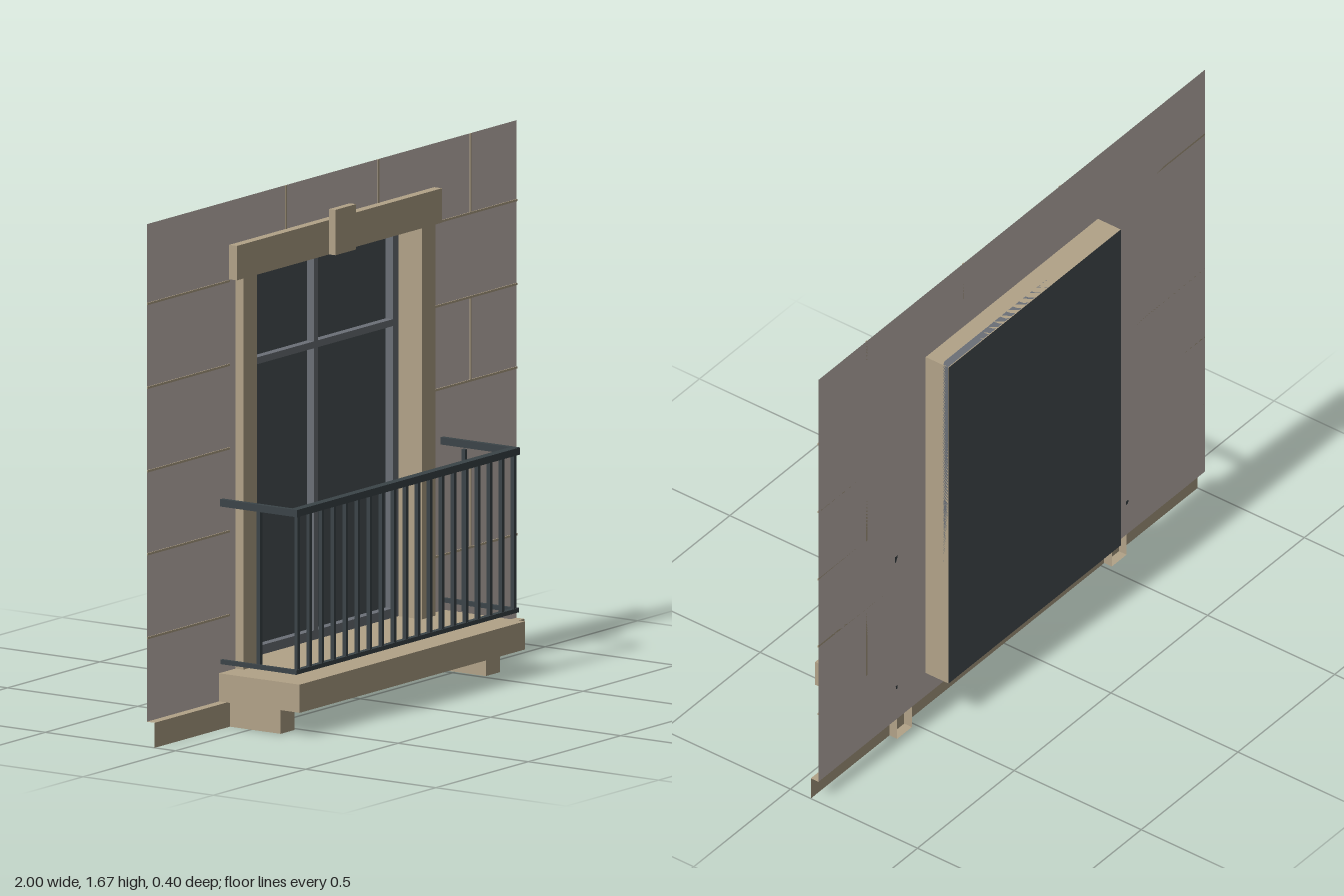
import * as THREE from 'three';

const mat = (name, color, side = THREE.FrontSide) => {
  const m = new THREE.MeshStandardMaterial({ color, side });
  m.name = name;
  return m;
};

export function createModel() {
  const root = new THREE.Group();
  root.name = 'balconyWindow';
  const plaster = mat('wall plaster', 0xc9bdb7, THREE.DoubleSide);
  const stone = mat('sandstone', 0xb2a388, THREE.DoubleSide);
  const glass = mat('dark glass', 0x495155, THREE.DoubleSide);
  const paint = mat('grey frame paint', 0x6b7077);
  const iron = mat('wrought iron', 0x3b4448);

  const group = (name) => {
    const g = new THREE.Group();
    g.name = name;
    root.add(g);
    return g;
  };
  // Box given by its limits; skip lists omitted faces (0..5 = +x -x +y -y +z -z)
  const box = (parent, name, m, [x0, x1], [y0, y1], [z0, z1], skip = []) => {
    const geo = new THREE.BoxGeometry(x1 - x0, y1 - y0, z1 - z0);
    if (skip.length) {
      geo.setIndex([...geo.index.array].filter((_, i) => !skip.includes(Math.floor(i / 6))));
      geo.clearGroups();
    }
    const mesh = new THREE.Mesh(geo, m);
    mesh.position.set((x0 + x1) / 2, (y0 + y1) / 2, (z0 + z1) / 2);
    mesh.name = name;
    parent.add(mesh);
    return mesh;
  };

  const W = 0.445, SILL = 0.17, HEAD = 1.42; // window opening
  const WALL = -0.11, FACE = -0.08, BACK = -0.2; // depth planes

  // Wall sheet with the window opening
  const sheet = new THREE.Shape([[-1, 0.08], [1, 0.08], [1, 1.67], [-1, 1.67]].map((p) => new THREE.Vector2(...p)));
  sheet.holes.push(new THREE.Path([[-W, SILL], [-W, HEAD], [W, HEAD], [W, SILL]].map((p) => new THREE.Vector2(...p))));
  const wall = new THREE.Mesh(new THREE.ShapeGeometry(sheet), plaster);
  wall.position.z = WALL;
  wall.name = 'wall';
  root.add(wall);

  // Thin mortar joints between the blocks
  const joints = group('wallJoints');
  const t = 0.0035, jz = [WALL, WALL + 0.003];
  for (const y of [0.347, 0.615, 0.88, 1.147, 1.415]) {
    box(joints, 'courseJoint', stone, [-1, -0.555], [y - t, y + t], jz);
    box(joints, 'courseJoint', stone, [0.555, 1], [y - t, y + t], jz);
  }
  for (const [x, y0, y1] of [[-0.25, 1.53, 1.67], [0.25, 1.53, 1.67], [0.75, 1.415, 1.67], [0.75, 0.88, 1.147], [0.75, 0.347, 0.615]]) {
    box(joints, 'uprightJoint', stone, [x - t, x + t], [y0, y1], jz);
  }

  // Base ledge, open behind and below
  box(root, 'baseLedge', stone, [-1, 1], [0, 0.08], [WALL, FACE], [0, 1, 3, 5]);

  // Balcony slab on two hollow-backed brackets
  box(root, 'balconySlab', stone, [-0.61, 0.61], [0.08, SILL], [WALL, 0.2], [5]);
  for (const s of [-1, 1]) {
    box(root, 'bracket', stone, [s * 0.555 - 0.038, s * 0.555 + 0.038], [0, 0.08], [WALL, 0.115], [2, 5]);
  }

  // Stone surround, lintel and keystone
  for (const s of [-1, 1]) {
    box(root, 'doorJamb', stone, [s * 0.4825 - 0.0375, s * 0.4825 + 0.0375], [SILL, HEAD], [WALL, FACE], [5]);
  }
  box(root, 'lintel', stone, [-0.555, 0.555], [HEAD, 1.53], [WALL, FACE], [5]);
  box(root, 'keystone', stone, [-0.056, 0.056], [HEAD, 1.565], [FACE, -0.056]);

  // Recess lining, glass and glazing bars
  box(root, 'recessLining', stone, [-W, W], [SILL, HEAD], [BACK, WALL], [4, 5]);
  const pane = new THREE.Mesh(new THREE.PlaneGeometry(2 * W, HEAD - SILL), glass);
  pane.position.set(0, (SILL + HEAD) / 2, BACK);
  pane.name = 'glassPane';
  root.add(pane);
  const frame = group('windowFrame');
  const b = 0.03, fz = [BACK + 0.003, -0.17];
  box(frame, 'leftStile', paint, [W - b, W], [SILL, HEAD], fz);
  box(frame, 'rightStile', paint, [-W, -W + b], [SILL, HEAD], fz);
  box(frame, 'topRail', paint, [-W + b, W - b], [HEAD - b, HEAD], fz);
  box(frame, 'bottomRail', paint, [-W + b, W - b], [SILL, SILL + b], fz);
  box(frame, 'mullion', paint, [-0.011, 0.011], [SILL + b, HEAD - b], fz);
  for (const s of [-1, 1]) {
    const x = s * (W - b + 0.011) / 2, h = (W - b - 0.011) / 2;
    box(frame, 'transom', paint, [x - h, x + h], [1.102, 1.124], fz);
  }

  // Iron railing: front and side rails with square balusters
  const rail = group('railing');
  const r = 0.0065, TOP = [0.702, 0.725], LOW = [0.198, 0.212];
  box(rail, 'frontHandrail', iron, [-0.603, 0.603], TOP, [0.157, 0.185]);
  box(rail, 'frontBottomRail', iron, [-0.603, 0.603], LOW, [0.164, 0.182]);
  for (const s of [-1, 1]) {
    box(rail, 'sideHandrail', iron, [s * 0.596 - 0.008, s * 0.596 + 0.008], TOP, [WALL, 0.157]);
    box(rail, 'sideBottomRail', iron, [s * 0.596 - 0.006, s * 0.596 + 0.006], LOW, [WALL, 0.164]);
  }
  for (let i = -9; i <= 9; i++) {
    const x = i * 0.065;
    box(rail, 'baluster', iron, [x - r, x + r], [LOW[1], TOP[0]], [0.173 - r, 0.173 + r]);
  }
  for (const x of [-0.588, 0.52]) {
    box(rail, 'sideBaluster', iron, [x - r, x + r], [LOW[0], 0.715], [0.03 - r, 0.03 + r]);
  }
  return root;
}
